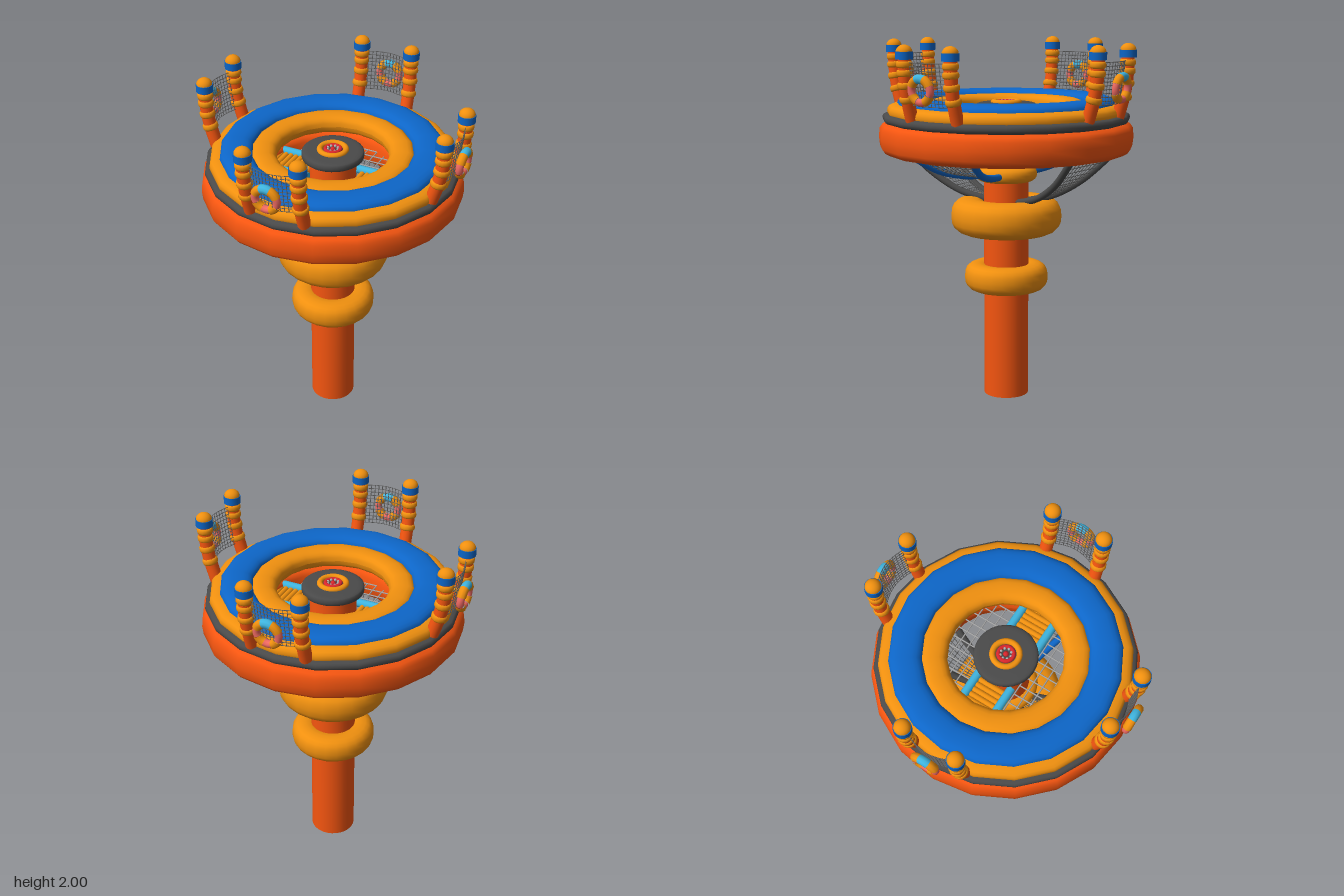
import * as THREE from 'three';
import { mergeGeometries } from 'three/addons/utils/BufferGeometryUtils.js';

const mat = (color) => new THREE.MeshStandardMaterial({ color });
const ORANGE = mat(0xf55510), GOLD = mat(0xf0900f), BLUE = mat(0x0d66c8), DARK = mat(0x4a4a4a);
const CYAN = mat(0x3fb5e0), PINK = mat(0xf06a62), RED = mat(0xd8262c), NET = mat(0xb0b0b0), ROPE = mat(0x666666);
const V = (x, y, z) => new THREE.Vector3(x, y, z);

function add(parent, name, geometry, material, x = 0, y = 0, z = 0) {
  const m = new THREE.Mesh(geometry, material);
  m.name = name;
  m.position.set(x, y, z);
  parent.add(m);
  return m;
}

// Inflated ring: a superellipse section (half width a, half height b) turned about y
function ring(parent, name, material, R, y, a, b, power = 2.5, segments = 20) {
  const pts = [];
  const n = 20;
  const bend = (c) => Math.sign(c) * Math.pow(Math.abs(c), 2 / power);
  for (let i = 0; i <= n; i++) {
    const t = Math.PI + (i / n) * Math.PI * 2;
    pts.push(new THREE.Vector2(R + a * bend(Math.cos(t)), b * bend(Math.sin(t))));
  }
  return add(parent, name, new THREE.LatheGeometry(pts, segments), material, 0, y, 0);
}

const tube = (pts, r, n = 20, sides = 10) =>
  new THREE.TubeGeometry(new THREE.CatmullRomCurve3(pts), n, r, sides);

// Net of thin cords over a surface f(u, v), with u and v from 0 to 1
function net(parent, name, material, f, nu, nv, r) {
  const parts = [];
  const cord = (g) => {
    const pts = [];
    for (let k = 0; k <= 6; k++) pts.push(g(k / 6));
    parts.push(tube(pts, r, 8, 4));
  };
  for (let i = 0; i <= nu; i++) cord((t) => f(i / nu, t));
  for (let j = 0; j <= nv; j++) cord((t) => f(t, j / nv));
  return add(parent, name, mergeGeometries(parts), material);
}

// Lifebuoy of coloured arcs, facing +z, with a cyan piece at the top
function lifebuoy() {
  const g = new THREE.Group();
  g.name = 'lifebuoy';
  const n = 8, step = (Math.PI * 2) / n;
  for (let i = 0; i < n; i++) {
    const top = i === 0;
    const arc = add(g, 'lifebuoySegment', new THREE.TorusGeometry(0.06, top || i % 2 ? 0.024 : 0.02, 10, 6, step),
      top ? CYAN : i % 2 ? GOLD : PINK);
    arc.rotation.z = Math.PI / 2 - step / 2 + i * step;
  }
  return g;
}

// Curved post leaning outward, with bands, collar and domed cap
function post(x) {
  const g = new THREE.Group();
  g.name = 'post';
  const path = new THREE.CatmullRomCurve3([
    V(0, 1.58, 0.615), V(0, 1.65, 0.637), V(0, 1.73, 0.66), V(0, 1.82, 0.675), V(0, 1.94, 0.68)]);
  add(g, 'postTube', new THREE.TubeGeometry(path, 16, 0.035, 14), ORANGE);
  for (const t of [0.4, 0.6, 0.77, 0.89]) {
    const band = ring(g, 'postBand', GOLD, 0.022, 0, 0.021, 0.02, 2.5, 14);
    band.position.copy(path.getPointAt(t));
    band.quaternion.setFromUnitVectors(V(0, 1, 0), path.getTangentAt(t));
  }
  add(g, 'postCollar', new THREE.CylinderGeometry(0.046, 0.046, 0.04, 16), BLUE, 0, 1.945, 0.68);
  const cap = add(g, 'postCap', new THREE.SphereGeometry(0.043, 16, 8, 0, Math.PI * 2, 0, Math.PI / 2), GOLD, 0, 1.962, 0.68);
  cap.scale.y = 0.88;
  g.position.x = x;
  return g;
}

// One lookout: two posts, the net between them and a lifebuoy
function lookout(angle) {
  const g = new THREE.Group();
  g.name = 'lookout';
  g.add(post(-0.15), post(0.15));
  net(g, 'lookoutNet', ROPE, (u, v) => {
    const y = 1.69 + 0.22 * v;
    return V(-0.13 + 0.26 * u, y, 0.65 + 0.03 * v + 0.035 * Math.sin(Math.PI * u));
  }, 13, 11, 0.0022);
  const buoy = lifebuoy();
  buoy.position.set(0, 1.775, 0.732);
  buoy.rotation.x = 0.08;
  g.add(buoy);
  g.rotation.y = angle;
  return g;
}

export function createModel() {
  const model = new THREE.Group();
  model.name = 'floatTower';

  // Column and its rings
  add(model, 'column', new THREE.CylinderGeometry(0.125, 0.125, 1.63, 32), ORANGE, 0, 0.815, 0);
  ring(model, 'columnRingLower', GOLD, 0.16, 0.685, 0.075, 0.077, 2.4, 24);
  ring(model, 'columnRingMiddle', GOLD, 0.205, 1.033, 0.105, 0.1, 2.4, 24);
  ring(model, 'columnRingUpper', GOLD, 0.12, 1.27, 0.052, 0.043, 2.3, 24);

  // Stacked platform rings
  ring(model, 'platformBase', ORANGE, 0.525, 1.477, 0.18, 0.097, 3.4);
  ring(model, 'platformBumper', DARK, 0.6, 1.585, 0.083, 0.028, 3);
  ring(model, 'platformMiddle', GOLD, 0.57, 1.62, 0.087, 0.045, 2.5);
  ring(model, 'platformTop', BLUE, 0.515, 1.65, 0.088, 0.052, 2.5);
  ring(model, 'platformInner', GOLD, 0.37, 1.63, 0.07, 0.052, 2.5);

  // Hub in the middle of the platform
  const hub = new THREE.Group();
  hub.name = 'hub';
  hub.position.y = 1.64;
  model.add(hub);
  ring(hub, 'hubDisc', DARK, 0.085, 0, 0.083, 0.025, 4, 32);
  ring(hub, 'hubRing', GOLD, 0.07, 0.025, 0.016, 0.016, 2, 28);
  ring(hub, 'hubInnerRing', RED, 0.04, 0.027, 0.011, 0.011, 2, 24);
  for (let i = 0; i < 8; i++) {
    const a = (i / 8) * Math.PI * 2;
    add(hub, 'hubBead', new THREE.SphereGeometry(0.008, 8, 6), NET, 0.029 * Math.cos(a), 0.03, 0.029 * Math.sin(a));
  }
  add(hub, 'hubButton', new THREE.SphereGeometry(0.015, 12, 8), RED, 0, 0.024, 0);

  // Slatted bridges, beams and flat nets that fill the opening
  for (const s of [-1, 1]) {
    for (let i = 0; i < 8; i++) {
      const slat = add(model, 'bridgeSlat', new THREE.CylinderGeometry(0.016, 0.016, 0.17, 10), GOLD,
        s * (0.14 + i * 0.03), 1.51, 0);
      slat.rotation.x = Math.PI / 2;
    }
    for (const t of [-1, 1]) {
      const beam = add(model, 'bridgeBeam', new THREE.CylinderGeometry(0.023, 0.023, 0.28, 12), CYAN,
        s * 0.24, 1.52, t * 0.095);
      beam.rotation.z = Math.PI / 2;
    }
    net(model, 'floorNet', NET, (u, v) => V(-0.275 + 0.55 * u, 1.5, s * (0.12 + 0.21 * v)), 10, 4, 0.004);
  }

  // Curved struts below, in pairs with a net stretched between each pair
  const darkStrut = [V(0.21, 1.41, 0.57), V(0.135, 1.25, 0.41), V(0.085, 1.16, 0.26), V(0.045, 1.12, 0.11)];
  const blueStrut = [V(0.2, 1.41, 0.57), V(0.14, 1.32, 0.42), V(0.09, 1.28, 0.27), V(0.05, 1.265, 0.1)];
  for (let k = 0; k < 4; k++) {
    const pts = k % 2 ? blueStrut : darkStrut;
    const side = new THREE.Group();
    side.name = 'strutPair';
    side.rotation.y = (k * Math.PI) / 2;
    model.add(side);
    for (const s of [-1, 1]) {
      add(side, 'strut', tube(pts.map((p) => V(s * p.x, p.y, p.z)), 0.019), k % 2 ? BLUE : DARK);
    }
    const curve = new THREE.CatmullRomCurve3(pts);
    net(side, 'strutNet', ROPE, (u, v) => {
      const p = curve.getPoint(0.06 + 0.9 * v);
      return V(p.x * (2 * u - 1), p.y, p.z);
    }, 10, 16, 0.0025);
    model.add(lookout((k * Math.PI) / 2));
  }
  return model;
}
